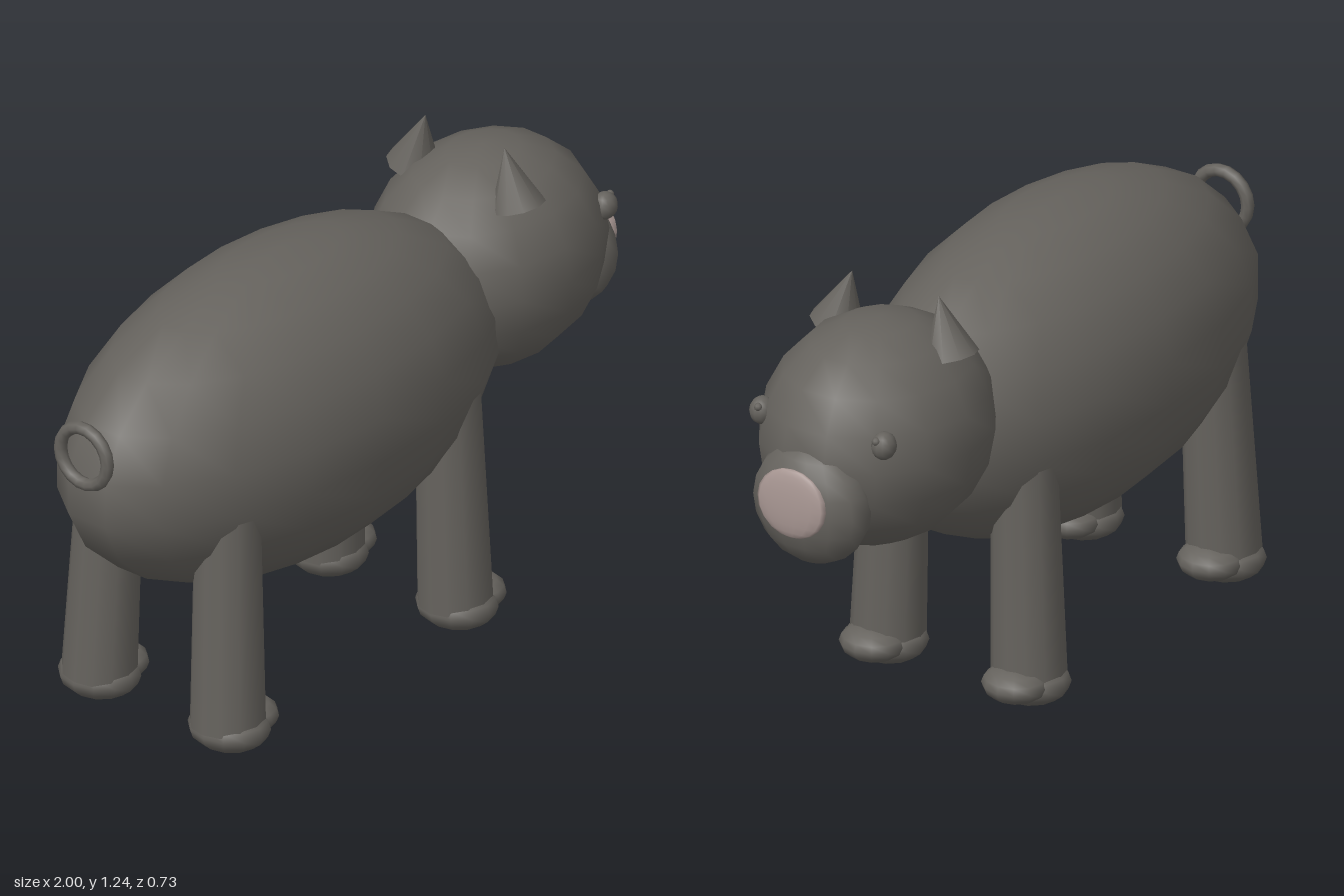
import * as THREE from 'three';

export function createModel() {
  const model = new THREE.Group();
  const hide = new THREE.MeshStandardMaterial({ color: 0x65625d });
  hide.name = 'grey hide';
  const pink = new THREE.MeshStandardMaterial({ color: 0xa69591 });
  pink.name = 'dusty pink';

  function add(name, geometry, position, material = hide, parent = model) {
    const mesh = new THREE.Mesh(geometry, material);
    mesh.name = name;
    mesh.position.set(...position);
    parent.add(mesh);
    return mesh;
  }

  // Smooth ellipsoid with a vertical pole and corners on the z axis
  function ellipsoid(rx, ry, rz, around = 14, rings = 10) {
    return new THREE.SphereGeometry(1, around, rings).rotateY(Math.PI / 2).scale(rx, ry, rz);
  }

  // Tapered limb running between two points
  function limb(from, to, rBottom, rTop, sides) {
    const a = new THREE.Vector3(...from), b = new THREE.Vector3(...to);
    const dir = b.clone().sub(a);
    const g = new THREE.CylinderGeometry(rTop, rBottom, dir.length(), sides);
    g.applyQuaternion(new THREE.Quaternion().setFromUnitVectors(new THREE.Vector3(0, 1, 0), dir.normalize()));
    const mid = a.add(b).multiplyScalar(0.5);
    return g.translate(mid.x, mid.y, mid.z);
  }

  // Trunk and head
  add('body', ellipsoid(0.77, 0.435, 0.367, 18, 11), [-0.22, 0.765, 0]);
  add('head', ellipsoid(0.352, 0.31, 0.292, 14, 10), [0.59, 0.873, 0]).rotation.z = 0.04;

  // Snout with its flat nose pad
  add('snout', ellipsoid(0.105, 0.168, 0.172, 14, 10), [0.885, 0.772, 0]);
  add('nosePad', ellipsoid(0.019, 0.095, 0.107, 14, 10), [0.981, 0.803, 0], pink).rotation.z = 0.06;

  // Curled tail
  add('tail', new THREE.TorusGeometry(0.08, 0.0175, 8, 18).rotateY(Math.PI / 2), [-0.982, 0.897, 0]);

  for (const side of [1, -1]) {
    const prefix = side > 0 ? 'left' : 'right';

    // Eye and its small glint
    add(prefix + 'Eye', ellipsoid(0.036, 0.038, 0.033, 12, 8), [0.838, 0.963, side * 0.19]);
    add(prefix + 'EyeGlint', ellipsoid(0.011, 0.011, 0.011, 8, 6), [0.865, 0.983, side * 0.184]);

    // Pointed ear, leaning inward
    add(prefix + 'Ear', limb([0.513, 1.09, side * 0.179], [0.508, 1.245, side * 0.135], 0.073, 0, 10), [0, 0, 0]);

    // Legs and feet
    for (const [place, x, topX] of [['Front', 0.22, 0.213], ['Back', -0.67, -0.648]]) {
      const leg = new THREE.Group();
      leg.name = prefix + place + 'Leg';
      model.add(leg);
      add('shank', limb([x, 0.07, side * 0.22], [topX, 0.68, side * 0.2], 0.1, 0.087, 12), [0, 0, 0], hide, leg);
      add('foot', ellipsoid(0.103, 0.061, 0.113, 12, 8), [x + 0.003, 0.064, side * 0.222], hide, leg);
      add('toe', ellipsoid(0.083, 0.048, 0.09, 12, 8), [x + 0.067, 0.076, side * 0.222], hide, leg);
    }
  }
  return model;
}
